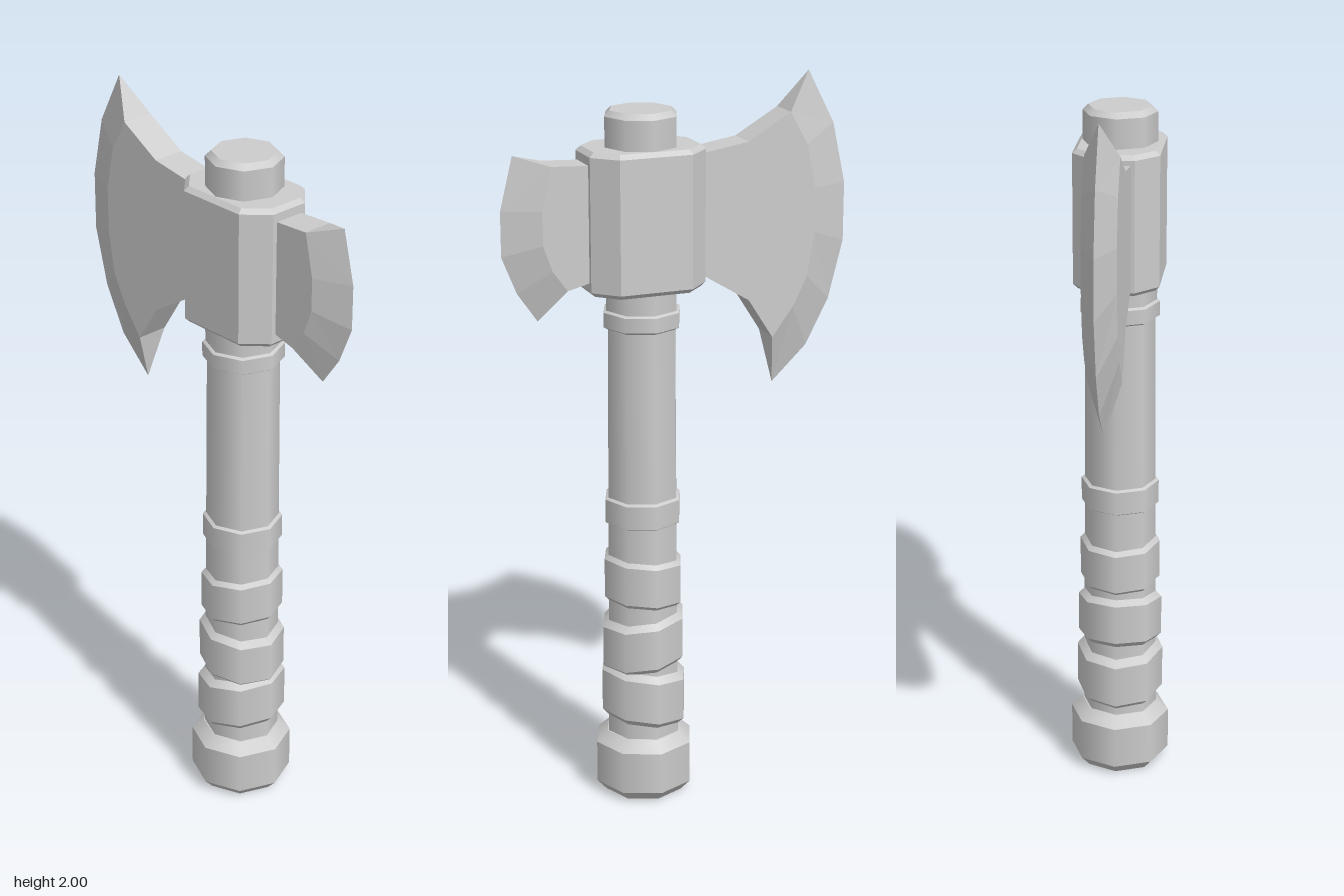
import * as THREE from 'three';
import { mergeGeometries } from 'three/addons/utils/BufferGeometryUtils.js';

const steel = new THREE.MeshStandardMaterial({ color: 0xcccccc });
steel.name = 'plain grey';
const AXIS = 0.1; // x of the handle's centre line

// Eight-sided turned part: profile of [radius, y], crisp between bands, smooth around.
// slope tilts the part so it rises toward +x.
function turned(name, profile, slope = 0) {
  const bands = [];
  for (let i = 0; i < profile.length - 1; i++) {
    const [r0, y0] = profile[i], [r1, y1] = profile[i + 1];
    if (Math.abs(y1 - y0) < 1e-6) continue;
    bands.push(new THREE.CylinderGeometry(r1, r0, y1 - y0, 8, 1, true).translate(0, (y0 + y1) / 2, 0));
  }
  const [rb, yb] = profile[0], [rt, yt] = profile[profile.length - 1];
  bands.push(new THREE.CircleGeometry(rt, 8).rotateX(-Math.PI / 2).translate(0, yt, 0));
  bands.push(new THREE.CircleGeometry(rb, 8).rotateX(Math.PI / 2).translate(0, yb, 0));
  const geo = mergeGeometries(bands);
  const p = geo.attributes.position;
  for (let i = 0; i < p.count; i++) p.setY(i, p.getY(i) + slope * p.getX(i));
  const mesh = new THREE.Mesh(geo, steel);
  mesh.name = name;
  mesh.position.x = AXIS;
  return mesh;
}

// Band with bevelled rims
const band = (name, r, y0, y1, bevel, slope) => turned(name,
  [[r - 0.018, y0], [r, y0 + bevel], [r, y1 - bevel], [r - 0.018, y1]], slope);

// Flat-shaded geometry from a list of triangles
function facets(tris) {
  const geo = new THREE.BufferGeometry();
  geo.setAttribute('position', new THREE.Float32BufferAttribute(tris.flat(2), 3));
  geo.computeVertexNormals();
  return geo;
}

// Flat cheek plus a ground bevel; all lists run from top to bottom.
function blade(name, top, ridge, edge, bottom, half, side) {
  const group = new THREE.Group();
  group.name = name;
  const outline = [...top, ...ridge, ...bottom].map(([x, y]) => new THREE.Vector2(x, y));
  const cheek = new THREE.Mesh(new THREE.ExtrudeGeometry(new THREE.Shape(outline),
    { depth: 2 * half, bevelEnabled: false }).translate(0, 0, -half), steel);
  cheek.name = name + 'Cheek';

  const tris = [];
  const add = (flip, a, b, c) => tris.push(flip ? [a, c, b] : [a, b, c]);
  const R = (i, s) => [...ridge[i], s * half];
  const E = (i) => [...edge[i], 0];
  for (const s of [1, -1]) {
    const flip = s * side < 0;
    for (let i = 0; i < ridge.length - 1; i++) {
      add(flip, R(i, s), R(i + 1, s), E(i + 1));
      add(flip, R(i, s), E(i + 1), E(i));
    }
  }
  // Pointed ends above and below
  const n = ridge.length - 1;
  add(side < 0, R(0, 1), E(0), R(0, -1));
  add(side < 0, R(n, 1), R(n, -1), E(n));
  const bevel = new THREE.Mesh(facets(tris), steel);
  bevel.name = name + 'CuttingEdge';
  group.add(cheek, bevel);
  return group;
}

// Eight-cornered hammer block with bevelled rims
function headBlock() {
  const ring = (inset, y) => {
    const x = 0.16 - inset, z = 0.115 - inset, cx = 0.1 - inset * 0.4, cz = 0.055 - inset * 0.4;
    return [[cx, z], [x, cz], [x, -cz], [cx, -z], [-cx, -z], [-x, -cz], [-x, cz], [-cx, z]]
      .map(([px, pz]) => [px + AXIS, y, pz]);
  };
  const rings = [ring(0.012, 1.455), ring(0, 1.467), ring(0, 1.823), ring(0.012, 1.835)];
  const tris = [];
  for (let k = 0; k < 3; k++) {
    for (let i = 0; i < 8; i++) {
      const j = (i + 1) % 8, lo = rings[k], hi = rings[k + 1];
      tris.push([lo[i], lo[j], hi[j]], [lo[i], hi[j], hi[i]]);
    }
  }
  for (let i = 1; i < 7; i++) {
    tris.push([rings[3][0], rings[3][i], rings[3][i + 1]], [rings[0][0], rings[0][i + 1], rings[0][i]]);
  }
  const mesh = new THREE.Mesh(facets(tris), steel);
  mesh.name = 'headBlock';
  return mesh;
}

export function createModel() {
  const axe = new THREE.Group();
  axe.name = 'axe';

  // Handle
  axe.add(
    turned('shaft', [[0.105, 0.1], [0.1, 0.7], [0.095, 1.5]]),
    turned('shaftTop', [[0.1, 1.4], [0.1, 1.915], [0.085, 1.93]]),
    turned('pommel', [[0.113, 0], [0.14, 0.03], [0.14, 0.15], [0.108, 0.18]]),
    band('gripRing', 0.108, 0.795, 0.88, 0.01),
    band('neckRing', 0.108, 1.345, 1.405, 0.01),
  );

  // Grip wraps, tilted alternately
  [[0.122, 0.215, 0.37, 0.14], [0.118, 0.38, 0.53, -0.13], [0.112, 0.56, 0.705, 0.09]]
    .forEach(([r, y0, y1, slope], i) => axe.add(band('gripWrap' + (i + 1), r, y0, y1, 0.018, slope)));

  // Head
  axe.add(headBlock());
  axe.add(blade('largeBlade',
    [[0, 1.81], [-0.06, 1.81], [-0.185, 1.83]],
    [[-0.305, 1.9], [-0.355, 1.81], [-0.38, 1.69], [-0.38, 1.57], [-0.36, 1.45], [-0.32, 1.37], [-0.26, 1.29]],
    [[-0.375, 2], [-0.45, 1.855], [-0.486, 1.69], [-0.486, 1.53], [-0.445, 1.37], [-0.38, 1.245], [-0.28, 1.15]],
    [[-0.19, 1.4], [-0.06, 1.48], [0, 1.48]], 0.045, -1));
  axe.add(blade('smallBlade',
    [[0.2, 1.8], [0.26, 1.8]],
    [[0.36, 1.805], [0.385, 1.69], [0.385, 1.6], [0.36, 1.53], [0.32, 1.475]],
    [[0.45, 1.832], [0.485, 1.69], [0.485, 1.57], [0.445, 1.47], [0.39, 1.39]],
    [[0.26, 1.49], [0.2, 1.49]], 0.042, 1));
  return axe;
}
